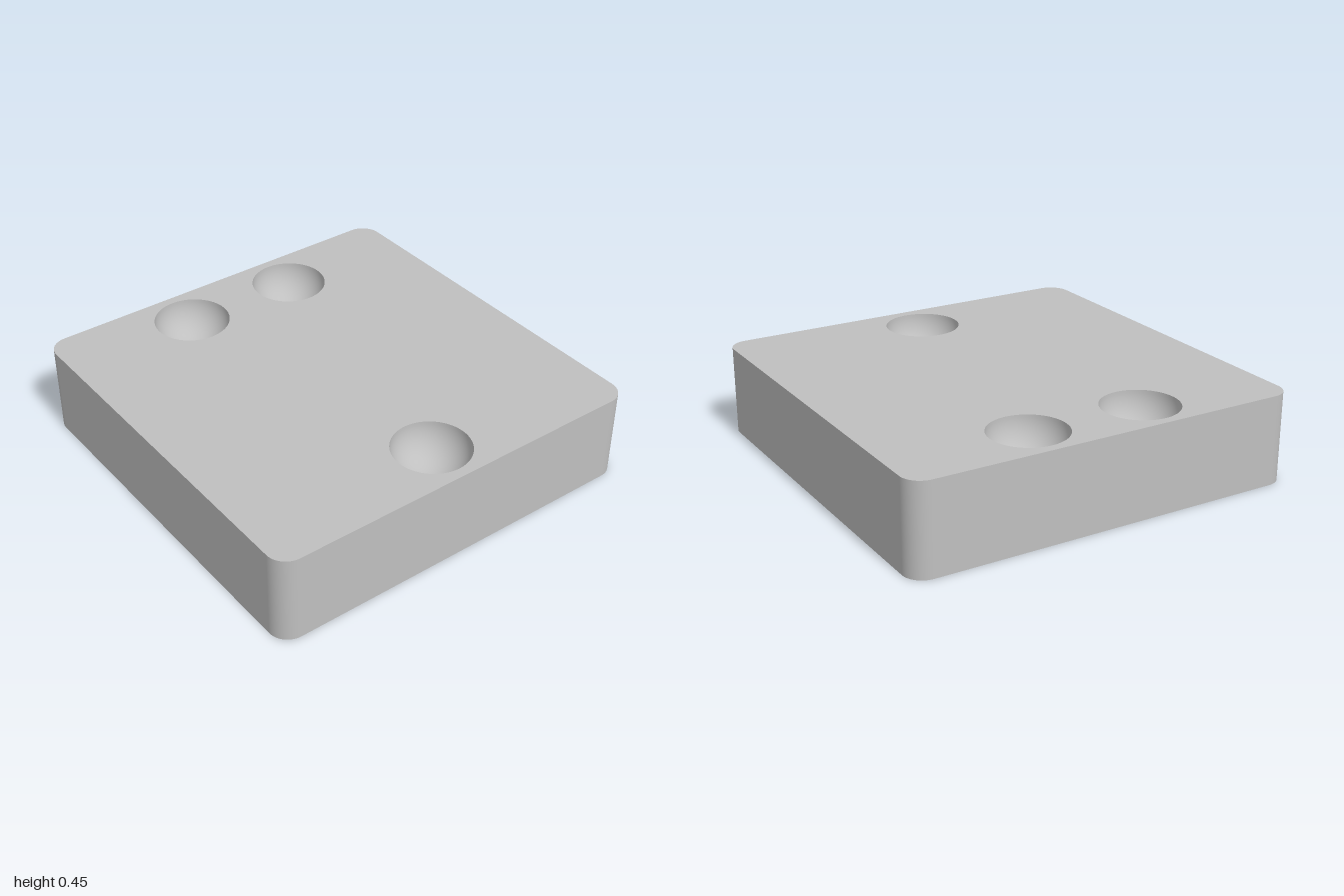
import * as THREE from 'three';
import { mergeGeometries } from 'three/addons/utils/BufferGeometryUtils.js';

const HEIGHT = 0.45, CORNER = 0.1, INNER = 1 - CORNER;
const SEG = 32;                                      // steps per arc (a full circle gets twice as many)
const BOWL_R = 0.19, PIN_R = 0.115, CENTRE_R = 0.305, POCKET_DEPTH = 0.15;
const SPOTS = [[-0.3, -0.765], [0.3, -0.765], [0, 0.76]]; // x, z of the three seats

export function createModel() {
  const grey = new THREE.MeshStandardMaterial({ color: 0xbfbfbf });
  grey.name = 'plain grey';
  const model = new THREE.Group();
  model.name = 'seatPlate';

  const add = (name, geometry, x = 0, y = 0, z = 0, parent = model) => {
    const mesh = new THREE.Mesh(geometry, grey);
    mesh.name = name;
    mesh.position.set(x, y, z);
    parent.add(mesh);
  };

  // Rounded square with round holes, facing up (side = 1) or down (side = -1)
  const face = (side, holes) => {
    const shape = new THREE.Shape();
    for (let i = 0; i < 4; i++) {
      const a = i * Math.PI / 2;
      const cx = i === 0 || i === 3 ? INNER : -INNER;
      const cy = i < 2 ? INNER : -INNER;
      shape.absarc(cx, cy, CORNER, a, a + Math.PI / 2, false);
    }
    for (const [x, z, r] of holes) {
      shape.holes.push(new THREE.Path().absarc(x, -side * z, r, 0, Math.PI * 2, true));
    }
    return new THREE.ShapeGeometry(shape, SEG).rotateX(-side * Math.PI / 2);
  };

  // Top and bottom faces
  add('topFace', face(1, SPOTS.map(([x, z]) => [x, z, BOWL_R])), 0, HEIGHT, 0);
  add('bottomFace', face(-1, [...SPOTS.map(([x, z]) => [x, z, PIN_R]), [0, 0, CENTRE_R]]));

  // Four flat sides joined by quarter-round corners
  const walls = [];
  for (let i = 0; i < 4; i++) {
    const turn = i * Math.PI / 2;
    walls.push(
      new THREE.PlaneGeometry(2 * INNER, HEIGHT).translate(0, 0, 1).rotateY(turn),
      new THREE.CylinderGeometry(CORNER, CORNER, HEIGHT, SEG, 1, true, 0, Math.PI / 2)
        .translate(INNER, 0, INNER).rotateY(turn)
    );
  }
  add('sideWall', mergeGeometries(walls), 0, HEIGHT / 2, 0);

  // Hemispherical seats; the profile runs downwards so the inside is the front
  const bowlProfile = [];
  for (let i = 0; i <= 20; i++) {
    const a = i / 20 * Math.PI / 2;
    bowlProfile.push(new THREE.Vector2(i === 20 ? 0 : BOWL_R * Math.cos(a), -BOWL_R * Math.sin(a)));
  }
  const bowl = new THREE.LatheGeometry(bowlProfile, SEG * 2);

  // Flat-floored round pockets opening downwards
  const addPocket = (name, r, x, z) => {
    const pocket = new THREE.Group();
    pocket.name = name;
    const profile = [new THREE.Vector2(r, POCKET_DEPTH), new THREE.Vector2(r, 0)];
    add(name + 'Wall', new THREE.LatheGeometry(profile, SEG * 2), x, 0, z, pocket);
    add(name + 'Floor', new THREE.CircleGeometry(r, SEG * 2).rotateX(Math.PI / 2), x, POCKET_DEPTH, z, pocket);
    model.add(pocket);
  };

  for (const [x, z] of SPOTS) {
    add('bowlSeat', bowl, x, HEIGHT, z);
    addPocket('pinPocket', PIN_R, x, z);
  }
  addPocket('centrePocket', CENTRE_R, 0, 0);

  return model;
}
